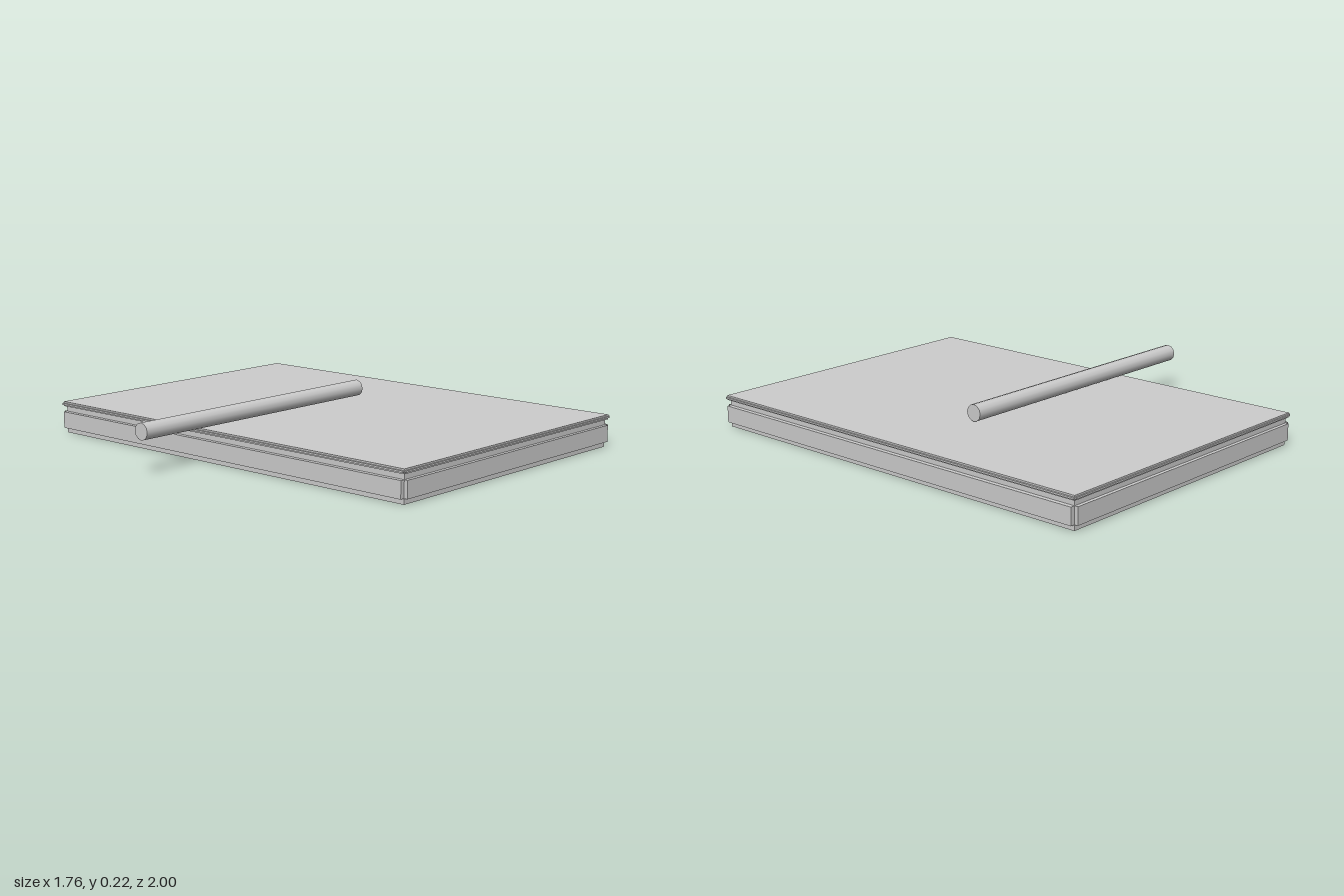
import * as THREE from 'three';

const grey = new THREE.MeshStandardMaterial({ color: 0xcccccc });
grey.name = 'grey';

// Slab with stepped edges: three crossed boxes, each reaching full size along one axis
function steppedSlab(name, y0, y1, insetX, insetY, insetZ) {
  const group = new THREE.Group();
  group.name = name;
  const size = [1.424, y1 - y0, 2];
  const inset = [insetX, insetY, insetZ];
  ['Sides', 'TopAndBottom', 'Ends'].forEach((part, axis) => {
    const s = size.map((v, i) => (i === axis ? v : v - 2 * inset[i]));
    const mesh = new THREE.Mesh(new THREE.BoxGeometry(...s), grey);
    mesh.name = name + part;
    group.add(mesh);
  });
  group.position.set(0.165, (y0 + y1) / 2, 0);
  return group;
}

export function createModel() {
  const model = new THREE.Group();
  model.name = 'tabletWithPen';

  // Thick base and thin cover plate
  model.add(steppedSlab('base', 0, 0.122, 0.02, 0.024, 0.016));
  model.add(steppedSlab('cover', 0.122, 0.143, 0.009, 0.007, 0.007));

  // Round pen lying across the cover
  const pen = new THREE.Mesh(new THREE.CylinderGeometry(0.037, 0.037, 1.33, 12), grey);
  pen.name = 'pen';
  pen.rotation.z = Math.PI / 2;
  pen.position.set(-0.215, 0.184, -0.095);
  model.add(pen);

  return model;
}
